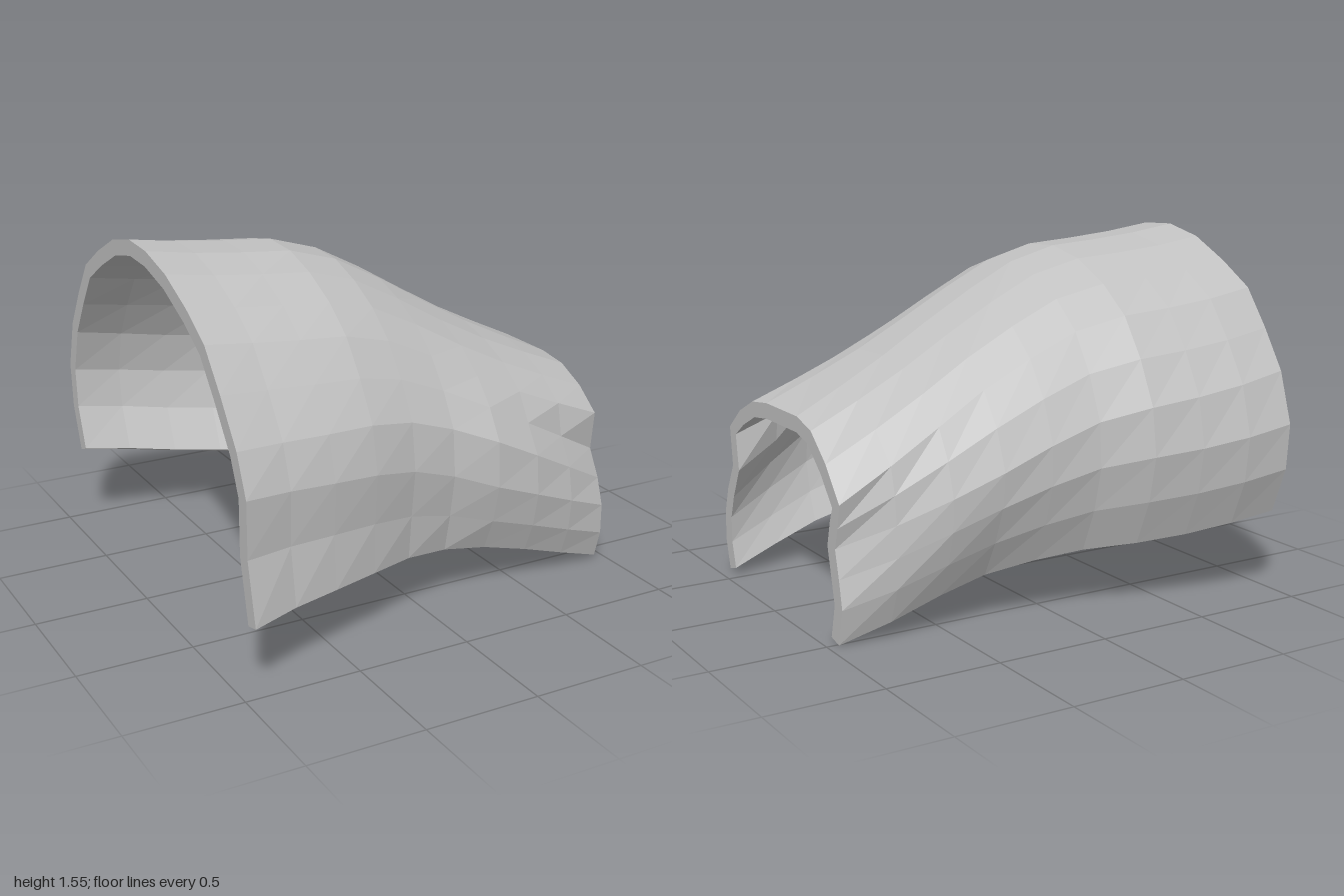
import * as THREE from 'three';

// Key outlines [z, y], from the front hem over the crown to the back hem
const WIDE = [[1, .3], [.94, .56], [.94, .8], [.865, .97], [.73, 1.15], [.595, 1.31], [.43, 1.41], [.23, 1.5], [.03, 1.55],
  [-.15, 1.56], [-.34, 1.52], [-.53, 1.43], [-.7, 1.33], [-.82, 1.17], [-.93, 1], [-1, .78], [-.985, .58], [-.91, .38]];
const MIDDLE = [[.64, .215], [.7, .36], [.74, .53], [.73, .73], [.65, .86], [.55, .97], [.42, 1.07], [.26, 1.14], [.1, 1.19],
  [-.1, 1.2], [-.28, 1.17], [-.45, 1.1], [-.58, .99], [-.68, .85], [-.745, .68], [-.73, .53], [-.67, .37], [-.59, .215]];
const NARROW = [[.6, .02], [.635, .145], [.635, .28], [.595, .4], [.53, .52], [.55, .695], [.43, .79], [.29, .855], [.14, .875],
  [-.16, .875], [-.29, .84], [-.42, .73], [-.535, .59], [-.515, .49], [-.49, .4], [-.52, .28], [-.545, .16], [-.51, .005]];

// Limits at each of the ten stations: crown height, front z, back z, front hem y, back hem y
const STATIONS = [
  [1.56, 1, -1, .3, .38], [1.53, .92, -.99, .305, .35], [1.51, .86, -.95, .305, .32], [1.495, .81, -.9, .3, .3],
  [1.435, .75, -.81, .285, .28], [1.325, .72, -.77, .255, .255], [1.2, .74, -.745, .215, .215],
  [1.08, .73, -.7, .16, .16], [.975, .69, -.625, .09, .08], [.875, .635, -.545, .02, .005]];
const THICKNESS = 0.068;
const END = 0.95;

// Blend the key outlines, then fit the result to the limits of the station
function outline(s) {
  const [top, front, back, hemF, hemB] = STATIONS[s];
  const [from, to, t] = s <= 6 ? [WIDE, MIDDLE, s / 6] : [MIDDLE, NARROW, Math.pow((s - 6) / 3, 1.3)];
  const p = from.map(([z, y], i) => [z + (to[i][0] - z) * t, y + (to[i][1] - y) * t]);
  const zs = p.map(q => q[0]), ys = p.map(q => q[1]);
  const zMax = Math.max(...zs), zMin = Math.min(...zs), yMax = Math.max(...ys);
  return p.map(([z, y], i) => {
    const isFront = i < 9;
    const low = isFront ? ys[0] : ys[ys.length - 1];
    const hem = isFront ? hemF : hemB;
    return [z > 0 ? z * front / zMax : z * back / zMin, hem + (y - low) / (yMax - low) * (top - hem)];
  });
}

// Inner outline, moved inwards square to the wall
function inset(p) {
  return p.map(([z, y], i) => {
    const a = p[Math.max(i - 1, 0)], b = p[Math.min(i + 1, p.length - 1)];
    const dz = b[0] - a[0], dy = b[1] - a[1], len = Math.hypot(dz, dy);
    return [z - dy / len * THICKNESS, y + dz / len * THICKNESS];
  });
}

function shellGeometry() {
  const pos = [], index = [];
  const n = WIDE.length, ring = 2 * n, last = STATIONS.length - 1;
  for (let s = 0; s <= last; s++) {
    const outer = outline(s);
    const x = -END + 2 * END * s / last;
    for (const [z, y] of [...outer, ...inset(outer).reverse()]) pos.push(x, Math.max(y, 0), z);
  }
  // Outer skin, hems and inner skin
  for (let s = 0; s < last; s++) {
    for (let i = 0; i < ring; i++) {
      const a = s * ring + i, b = s * ring + (i + 1) % ring;
      index.push(a, a + ring, b + ring, a, b + ring, b);
    }
  }
  // Rims at both ends
  const e = last * ring;
  for (let i = 0; i < n - 1; i++) {
    const a = i, b = i + 1, c = ring - 2 - i, d = ring - 1 - i;
    index.push(a, b, c, a, c, d);
    index.push(e + a, e + c, e + b, e + a, e + d, e + c);
  }
  const g = new THREE.BufferGeometry();
  g.setAttribute('position', new THREE.Float32BufferAttribute(pos, 3));
  g.setIndex(index);
  const flat = g.toNonIndexed(); // separate faces for a faceted look
  flat.computeVertexNormals();
  return flat;
}

export function createModel() {
  const model = new THREE.Group();
  model.name = 'taperedArchShell';
  const grey = new THREE.MeshStandardMaterial({ color: 0xc0c0c0 });
  grey.name = 'light grey';
  const shell = new THREE.Mesh(shellGeometry(), grey);
  shell.name = 'curvedShell';
  model.add(shell);
  return model;
}
